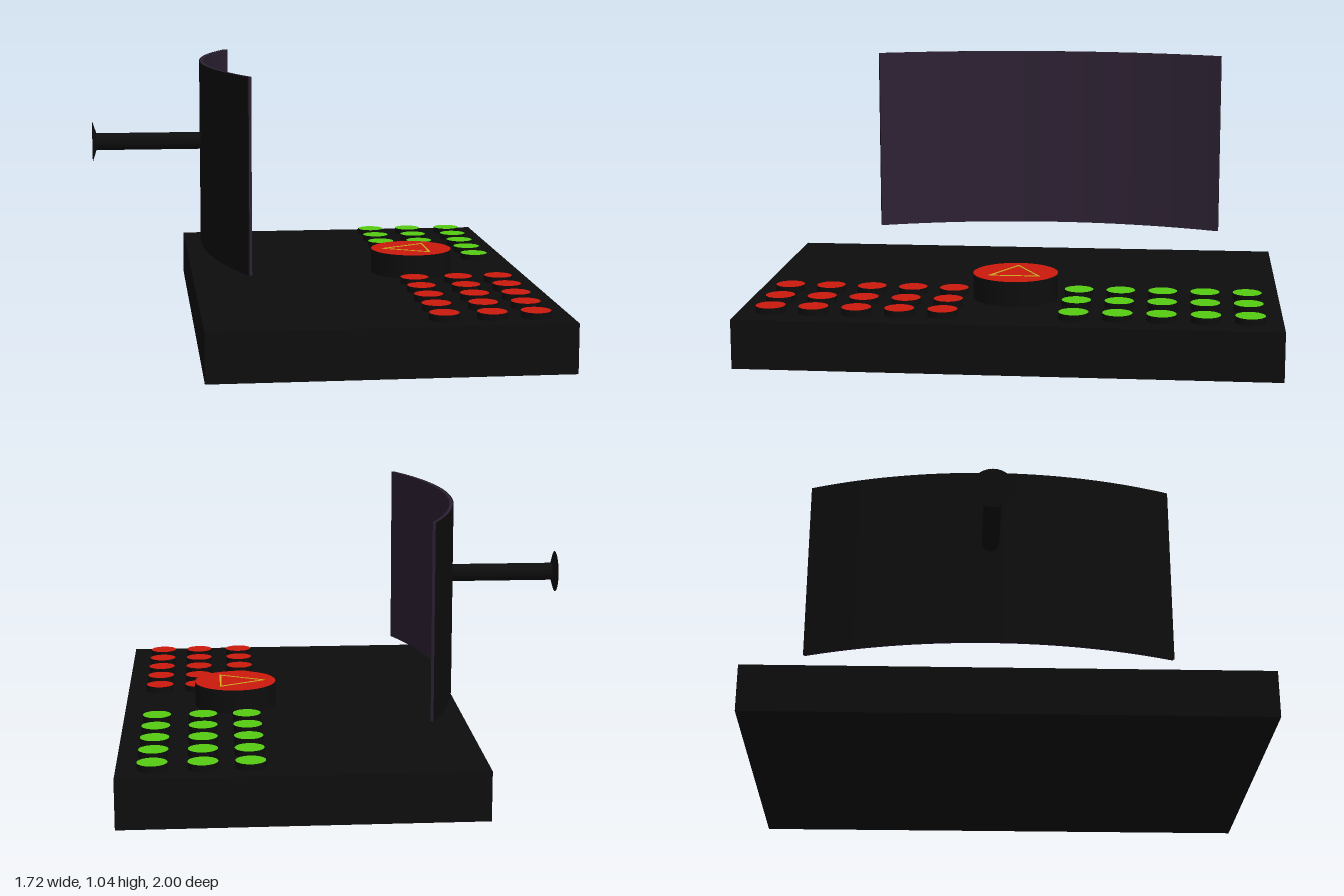
import * as THREE from 'three';

const material = (color) => new THREE.MeshStandardMaterial({ color });

export function createModel() {
  const model = new THREE.Group();
  const black = material(0x0d0d0d);
  const purple = material(0x2d2133);
  const red = material(0xcc1a0e);
  const green = material(0x55cc11);
  const yellow = material(0xd9b020);

  const add = (name, geometry, mat, x = 0, y = 0, z = 0, parent = model) => {
    const mesh = new THREE.Mesh(geometry, mat);
    mesh.name = name;
    mesh.position.set(x, y, z);
    parent.add(mesh);
    return mesh;
  };

  // Console slab
  const top = 0.185;
  add('base', new THREE.BoxGeometry(1.33, top, 2), black, 0.195, top / 2, 0);

  // Two button fields: dark sides, coloured caps
  const buttonHeight = 0.025;
  const buttonGeometry = new THREE.CylinderGeometry(0.055, 0.055, buttonHeight, 32);
  const buttonField = (name, columns, side, cap) => {
    const field = new THREE.Group();
    field.name = name;
    for (const x of columns) {
      for (let row = 0; row < 5; row++) {
        add('button', buttonGeometry, [black, cap, black],
          x, top + buttonHeight / 2, side * (0.24 + row * 0.16), field);
      }
    }
    model.add(field);
  };
  buttonField('greenButtons', [0.38, 0.55, 0.73], -1, green);
  buttonField('redButtons', [0.395, 0.57, 0.73], 1, red);

  // Large central button
  const knobTop = 0.28;
  add('mainButton', new THREE.CylinderGeometry(0.162, 0.162, knobTop - top, 48),
    [black, red, black], 0.42, (knobTop + top) / 2, 0);

  // Thin triangle outline on the main button, centred on its own centroid
  const trianglePath = (path, r) => {
    path.moveTo(-r, 0);
    path.lineTo(r / 2, -r * 0.8);
    path.lineTo(r / 2, r * 0.8);
    path.closePath();
    return path;
  };
  const triangle = trianglePath(new THREE.Shape(), 0.122);
  triangle.holes.push(trianglePath(new THREE.Path(), 0.108));
  const outline = new THREE.ExtrudeGeometry(triangle, { depth: 0.002, bevelEnabled: false });
  outline.rotateX(-Math.PI / 2);
  add('triangleOutline', outline, yellow, 0.422, knobTop, 0);

  // Curved screen: a dark backing shell and a tinted panel in front of it
  const screenZ = -0.07;
  const radius = 1.87;
  const halfAngle = 0.39;
  const curvedSlab = (outer, inner) => {
    const shape = new THREE.Shape();
    shape.absarc(0, 0, outer, Math.PI - halfAngle, Math.PI + halfAngle, false);
    shape.absarc(0, 0, inner, Math.PI + halfAngle, Math.PI - halfAngle, true);
    shape.closePath();
    const geometry = new THREE.ExtrudeGeometry(shape,
      { depth: 0.73, bevelEnabled: false, curveSegments: 32 });
    return geometry.rotateX(-Math.PI / 2);
  };
  const screen = new THREE.Group();
  screen.name = 'screen';
  screen.position.set(-0.43 + radius, 0.31, screenZ);
  add('screenBack', curvedSlab(radius, radius - 0.004), black, 0, 0, 0, screen);
  add('screenPanel', curvedSlab(radius - 0.004, radius - 0.015), purple, 0, 0, 0, screen);
  model.add(screen);

  // Wall mount: arm with a flared end plate
  const mount = new THREE.Group();
  mount.name = 'wallMount';
  mount.position.set(0, 0.725, screenZ);
  const arm = new THREE.CylinderGeometry(0.034, 0.034, 0.425, 32).rotateZ(Math.PI / 2);
  add('arm', arm, black, -0.6325, 0, 0, mount);
  const flange = new THREE.CylinderGeometry(0.08, 0.034, 0.015, 32).rotateZ(Math.PI / 2);
  add('endPlate', flange, black, -0.8525, 0, 0, mount);
  model.add(mount);

  return model;
}
